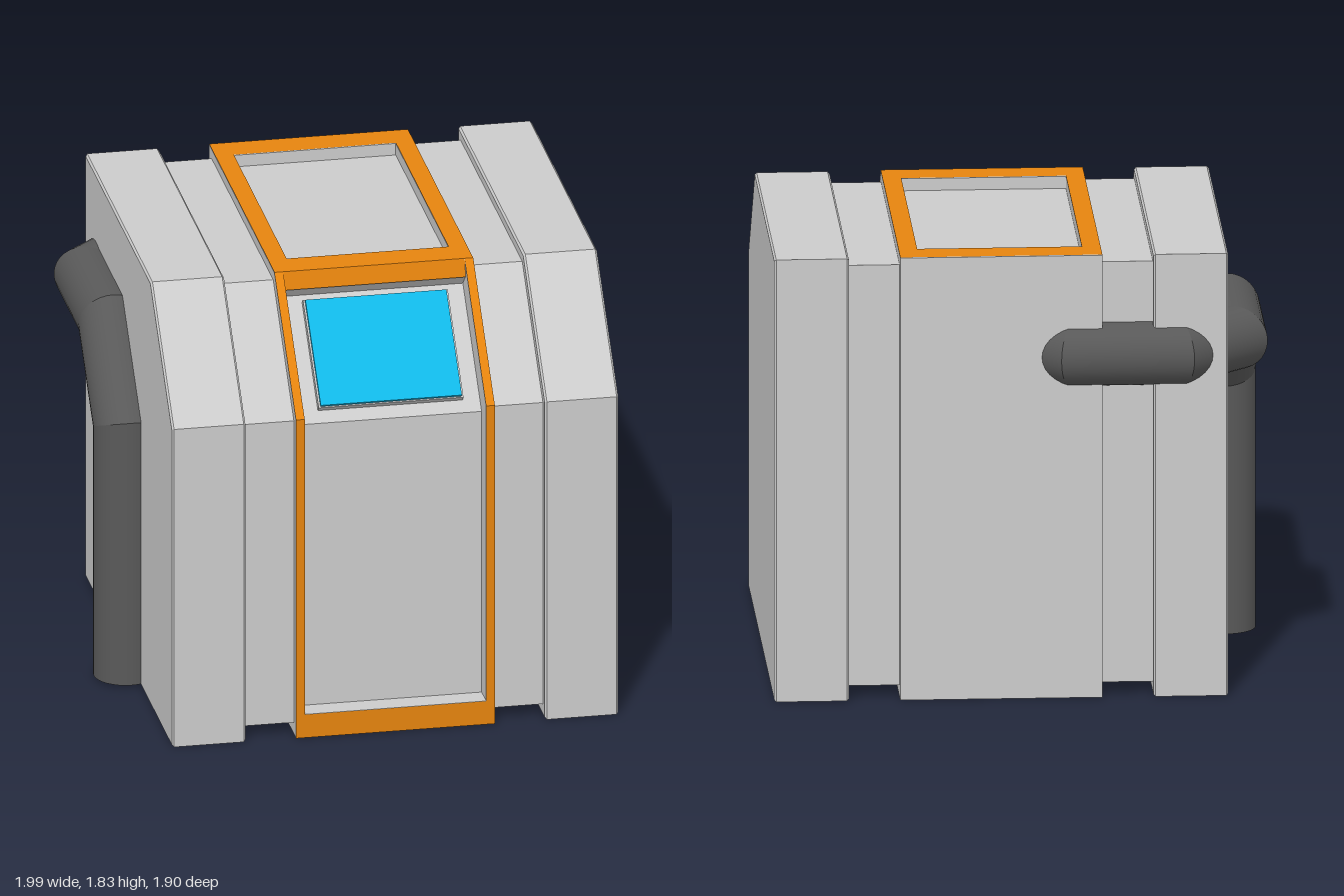
import * as THREE from 'three';

const grey = new THREE.MeshStandardMaterial({ color: 0xcccccc, flatShading: true });
const orange = new THREE.MeshStandardMaterial({ color: 0xe6840e, flatShading: true, side: THREE.DoubleSide });
const blue = new THREE.MeshStandardMaterial({ color: 0x11b8e8 });
const dark = new THREE.MeshStandardMaterial({ color: 0x595959, side: THREE.DoubleSide });

const CX = 0.08; // centre line of the cabinet
const OUTER = [[-0.88, 0], [0.945, 0], [0.945, 1.375], [0.49, 1.83], [-0.88, 1.83]];
const INNER = [[-0.83, 0.05], [0.9, 0.05], [0.9, 1.355], [0.465, 1.79], [-0.83, 1.79]];
// Centre section: sill, recessed front, sloped panel, top lip and top pocket
const CORE = [[-0.88, 0], [0.945, 0], [0.945, 0.1], [0.85, 0.1], [0.85, 1.315], [0.455, 1.71], [0.51, 1.76],
  [0.49, 1.83], [0.36, 1.83], [0.36, 1.78], [-0.75, 1.78], [-0.75, 1.83], [-0.88, 1.83]];

function add(parent, name, geometry, material) {
  const mesh = new THREE.Mesh(geometry, material);
  mesh.name = name;
  parent.add(mesh);
  return mesh;
}

// Side profile of [z, y] points, extruded from x0 to x1
function slab(profile, x0, x1, bevel = 0) {
  const shape = new THREE.Shape(profile.map(([z, y]) => new THREE.Vector2(z, y)));
  const geo = new THREE.ExtrudeGeometry(shape, {
    depth: x1 - x0 - 2 * bevel, bevelEnabled: bevel > 0, bevelSize: bevel,
    bevelThickness: bevel, bevelOffset: -bevel, bevelSegments: 1,
  });
  return geo.rotateY(-Math.PI / 2).translate(x1 - bevel, 0, 0);
}

// Thin strip following [z, y] points, from x0 to x1
function ribbon(path, x0, x1) {
  const pos = [], index = [];
  path.forEach(([z, y], i) => {
    pos.push(x0, y, z, x1, y, z);
    const a = i * 2;
    if (i) index.push(a - 2, a - 1, a + 1, a - 2, a + 1, a);
  });
  const geo = new THREE.BufferGeometry();
  geo.setAttribute('position', new THREE.Float32BufferAttribute(pos, 3));
  geo.setIndex(index);
  const flat = geo.toNonIndexed();
  flat.computeVertexNormals();
  return flat;
}

// Round pipe with mitred corners: each ring is projected onto the mitre plane
function pipe(points, radius, sides = 32) {
  const pts = points.map((p) => new THREE.Vector3(...p));
  const dirs = pts.slice(1).map((p, i) => p.clone().sub(pts[i]).normalize());
  const u = new THREE.Vector3(0, 1, 0);
  const v = dirs[0].clone().cross(u).normalize();
  let ring = [];
  for (let j = 0; j <= sides; j++) {
    const a = (j / sides) * Math.PI * 2;
    ring.push(pts[0].clone().addScaledVector(u, radius * Math.cos(a)).addScaledVector(v, radius * Math.sin(a)));
  }
  const pos = [], nor = [], index = [];
  dirs.forEach((d, i) => {
    const n = i + 1 < dirs.length ? d.clone().add(dirs[i + 1]).normalize() : d;
    const next = ring.map((p) => p.clone().addScaledVector(d, pts[i + 1].clone().sub(p).dot(n) / d.dot(n)));
    const base = pos.length / 3;
    ring.forEach((p, j) => {
      const off = p.clone().sub(pts[i]);
      off.addScaledVector(d, -off.dot(d)).normalize();
      pos.push(...p.toArray(), ...next[j].toArray());
      nor.push(...off.toArray(), ...off.toArray());
      const a = base + j * 2;
      if (j < sides) index.push(a, a + 2, a + 1, a + 1, a + 2, a + 3);
    });
    ring = next;
  });
  const geo = new THREE.BufferGeometry();
  geo.setAttribute('position', new THREE.Float32BufferAttribute(pos, 3));
  geo.setAttribute('normal', new THREE.Float32BufferAttribute(nor, 3));
  // Wind the faces so they look outward
  for (let k = 0; k < index.length; k += 3) [index[k + 1], index[k + 2]] = [index[k + 2], index[k + 1]];
  const p = index.slice(0, 3).map((i) => new THREE.Vector3().fromArray(pos, i * 3));
  const face = p[1].clone().sub(p[0]).cross(p[2].clone().sub(p[0]));
  if (face.dot(new THREE.Vector3().fromArray(nor, index[0] * 3)) < 0) index.reverse();
  geo.setIndex(index);
  return geo;
}

export function createModel() {
  const model = new THREE.Group();
  model.name = 'cabinet';

  const body = new THREE.Group();
  body.name = 'body';
  const trim = new THREE.Group();
  trim.name = 'trim';
  model.add(body, trim);

  // Centre section
  add(body, 'centreSection', slab(CORE, CX - 0.37, CX + 0.37), grey);

  // Mirrored side parts
  const E = 0.003;
  const edge = [[0.945 + E, 0], [0.945 + E, 1.375 + E], [0.49 + E, 1.83 + E], [-0.88, 1.83 + E]];
  for (const s of [-1, 1]) {
    const span = (a, b) => (s > 0 ? [CX + a, CX + b] : [CX - b, CX - a]);
    add(body, 'sidePanel', slab(OUTER, ...span(0.61, 0.91), 0.008), grey);
    add(body, 'recessedBand', slab(INNER, ...span(0.395, 0.62)), grey);
    add(body, 'centreCheek', slab(OUTER, ...span(0.37, 0.405)), grey);
    const rail = new THREE.BoxGeometry(0.04, 0.05, 1.11);
    add(body, 'pocketRail', rail.translate(CX + s * 0.35, 1.805, -0.195), grey);
    add(trim, 'edgeTrim', ribbon(edge, ...span(0.37, 0.405)), orange);
    add(trim, 'railTrim', ribbon([[0.36, 1.83 + E], [-0.75, 1.83 + E]], ...span(0.33, 0.37)), orange);
  }

  // Cross strips of the trim
  const strips = {
    sillTrim: [[0.945 + E, 0], [0.945 + E, 0.1]],
    lipTrim: [[0.51 + E, 1.76], [0.49 + E, 1.83 + E], [0.36, 1.83 + E]],
    backTrim: [[-0.75, 1.83 + E], [-0.88, 1.83 + E]],
  };
  for (const [name, path] of Object.entries(strips)) add(trim, name, ribbon(path, CX - 0.37, CX + 0.37), orange);

  // Display on the sloped panel
  const display = new THREE.Group();
  display.name = 'display';
  add(display, 'displayHousing', new THREE.BoxGeometry(0.59, 0.47, 0.04).translate(0, 0, -0.02), grey);
  add(display, 'screen', new THREE.BoxGeometry(0.575, 0.46, 0.025), blue);
  display.position.set(CX + 0.005, 1.54, 0.664);
  display.rotation.x = -Math.PI / 4;
  model.add(display);

  // Pipe from the back, around the corner and down the right side
  const path = [[0, 1.41, -0.62], [-0.21, 1.41, -0.822], [-0.64, 1.41, -0.822], [-0.87, 1.41, -0.61],
    [-0.87, 1.41, -0.15], [-0.87, 1.09, 0.17], [-0.87, 0.01, 0.17]];
  add(model, 'pipe', pipe(path, 0.13), dark);
  const cap = new THREE.CircleGeometry(0.13, 32).rotateX(Math.PI / 2).translate(-0.87, 0.01, 0.17);
  add(model, 'pipeEnd', cap, dark);

  return model;
}
